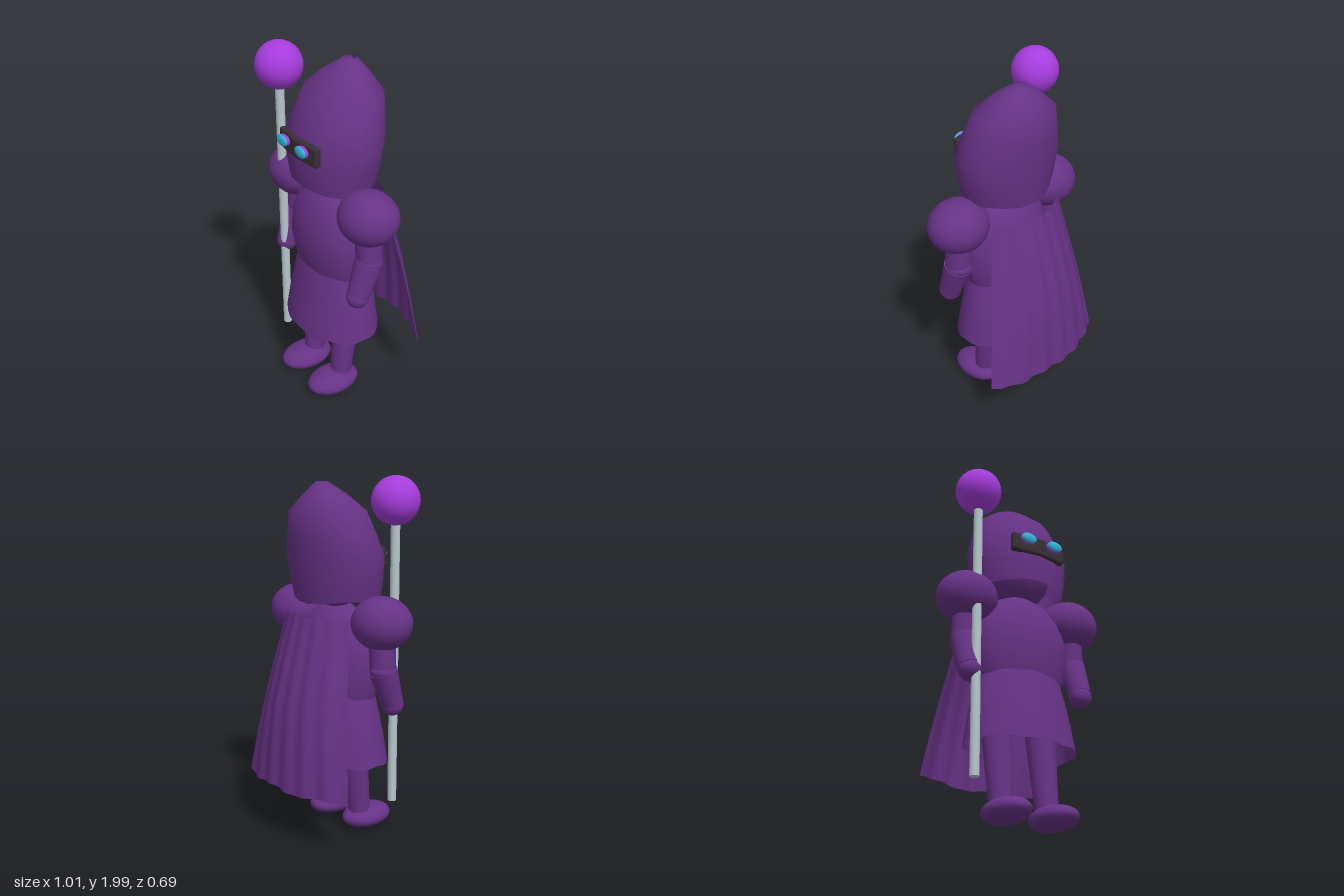
import * as THREE from 'three';
import { RoundedBoxGeometry } from 'three/addons/geometries/RoundedBoxGeometry.js';

const material = (name, color, side = THREE.FrontSide) => {
  const m = new THREE.MeshStandardMaterial({ color, side });
  m.name = name;
  return m;
};

// Indexed surface through rows of points; rows may wrap round into rings
function surface(rows, wrap) {
  const n = rows[0].length, index = [];
  for (let i = 0; i < rows.length - 1; i++) {
    for (let j = 0; j < (wrap ? n : n - 1); j++) {
      const k = (j + 1) % n, a = i * n + j, b = i * n + k;
      index.push(a, b, a + n, b, b + n, a + n);
    }
  }
  const g = new THREE.BufferGeometry();
  g.setAttribute('position', new THREE.Float32BufferAttribute(rows.flat(2), 3));
  g.setIndex(index);
  g.computeVertexNormals();
  return g;
}

// Oval rings listed bottom to top: [y, half width, front z, back z, edge wave]
function loft(rings, sides, waves = 0) {
  return surface(rings.map(([y, w, f, b, wave = 0]) =>
    Array.from({ length: sides }, (_, j) => {
      const a = (j / sides) * Math.PI * 2;
      return [w * Math.sin(a), y + wave * Math.cos(a * waves),
        (f + b) / 2 + ((f - b) / 2) * Math.cos(a)];
    })), true);
}

export function createModel() {
  const model = new THREE.Group();
  model.name = 'hoodedMage';
  const robe = material('robePurple', 0x673286, THREE.DoubleSide);
  const violet = material('brightViolet', 0xa63cdd);
  const steel = material('paleSteel', 0xb6c6cc);
  const dark = material('visorDark', 0x383036);
  const cyan = material('eyeCyan', 0x2fb6dc);

  const add = (name, geometry, mat, parent = model) => {
    const mesh = new THREE.Mesh(geometry, mat);
    mesh.name = name;
    parent.add(mesh);
    return mesh;
  };
  const ball = (name, [x, y, z], [sx, sy, sz], mat, parent) => {
    const mesh = add(name, new THREE.SphereGeometry(1, 24, 16), mat, parent);
    mesh.position.set(x, y, z);
    mesh.scale.set(sx, sy, sz);
    return mesh;
  };
  const limb = (name, from, to, r0, r1, mat, parent) => {
    const a = new THREE.Vector3(...from), b = new THREE.Vector3(...to);
    const mesh = add(name, new THREE.CylinderGeometry(r1, r0, a.distanceTo(b), 20), mat, parent);
    mesh.position.copy(a).add(b).multiplyScalar(0.5);
    mesh.quaternion.setFromUnitVectors(new THREE.Vector3(0, 1, 0), b.sub(a).normalize());
    return mesh;
  };

  // Hood with a small dimple at the tip, over a rounded head
  add('hood', loft([
    [1.335, 0.26, 0.29, -0.14, 0.012],
    [1.45, 0.285, 0.302, -0.16],
    [1.58, 0.3, 0.295, -0.175],
    [1.68, 0.27, 0.262, -0.185],
    [1.81, 0.232, 0.2, -0.185],
    [1.89, 0.14, 0.11, -0.13],
    [1.965, 0.034, 0.0, -0.07],
    [1.94, 0.03, -0.005, -0.065],
    [1.935, 0.001, -0.034, -0.036],
  ], 18, 3), robe);
  ball('head', [0, 1.49, 0.06], [0.2, 0.2, 0.17], robe);

  // Visor made of two angled halves, with a glowing eye on each
  for (const s of [1, -1]) {
    const half = add('visorHalf', new RoundedBoxGeometry(0.18, 0.112, 0.04, 3, 0.016), dark);
    half.position.set(s * 0.079, 1.555, 0.284);
    half.rotation.y = s * 0.1;
    ball('eyeRim', [s * 0.085, 1.572, 0.314], [0.048, 0.03, 0.016], violet);
    ball('eye', [s * 0.085, 1.572, 0.329], [0.047, 0.03, 0.014], cyan);
  }
  ball('noseRidge', [0, 1.572, 0.295], [0.014, 0.03, 0.014], robe);

  // Torso and flared skirt
  add('torso', loft([
    [0.78, 0.24, 0.24, -0.07],
    [0.85, 0.265, 0.258, -0.082],
    [0.97, 0.282, 0.275, -0.09],
    [1.08, 0.272, 0.27, -0.088],
    [1.18, 0.235, 0.24, -0.07],
    [1.26, 0.165, 0.195, -0.02],
    [1.305, 0.08, 0.14, 0.04],
    [1.315, 0.001, 0.091, 0.089],
  ], 28), robe);
  add('skirt', loft([
    [0.425, 0.32, 0.322, -0.14, 0.008],
    [0.57, 0.298, 0.3, -0.125],
    [0.7, 0.274, 0.275, -0.107],
    [0.82, 0.24, 0.25, -0.08, 0.008],
  ], 32, 8), robe);

  // Arms and legs on both sides
  for (const s of [1, -1]) {
    const arm = new THREE.Group();
    arm.name = s > 0 ? 'leftArm' : 'rightArm';
    ball('shoulder', [s * 0.335, 1.235, 0.088], [0.172, 0.145, 0.159], robe, arm);
    limb('upperArm', [s * 0.335, 1.2, 0.088], [s * 0.348, 0.97, 0.088], 0.075, 0.07, robe, arm);
    ball('elbow', [s * 0.348, 0.98, 0.09], [0.072, 0.05, 0.078], robe, arm);
    limb('forearm', [s * 0.348, 0.98, 0.09], [s * 0.352, 0.79, 0.16], 0.078, 0.062, robe, arm);
    ball('hand', [s * 0.35, 0.778, 0.164], [0.061, 0.06, 0.061], robe, arm);

    const leg = new THREE.Group();
    leg.name = s > 0 ? 'leftLeg' : 'rightLeg';
    limb('shin', [s * 0.138, 0.55, 0.075], [s * 0.138, 0.09, 0.13], 0.082, 0.06, robe, leg);
    ball('foot', [s * 0.14, 0.07, 0.183], [0.112, 0.064, 0.16], robe, leg);
    model.add(arm, leg);
  }

  // Cape rows: [y, half width, side z, back z, fold depth]
  const folds = 40;
  add('cape', surface([
    [0.315, 0.415, -0.225, -0.338, 0.008],
    [0.55, 0.378, -0.195, -0.325, 0.007],
    [0.79, 0.335, -0.16, -0.3, 0.006],
    [1.02, 0.295, -0.115, -0.24, 0.005],
    [1.255, 0.25, -0.072, -0.172, 0.003],
  ].map(([y, w, side, back, depth]) => Array.from({ length: folds + 1 }, (_, j) => {
    const u = 1 - (2 * j) / folds;
    return [w * u, y + depth * Math.sin(u * 7),
      back + (side - back) * Math.abs(u) ** 2.3 + depth * Math.sin(u * 19)];
  })), false), robe);

  // Staff with its orb
  const staff = new THREE.Group();
  staff.name = 'staff';
  limb('staffPole', [-0.33, 0.21, 0.195], [-0.33, 1.8, 0.185], 0.025, 0.025, steel, staff);
  ball('staffOrb', [-0.33, 1.871, 0.184], [0.129, 0.129, 0.129], violet, staff);
  model.add(staff);

  return model;
}
